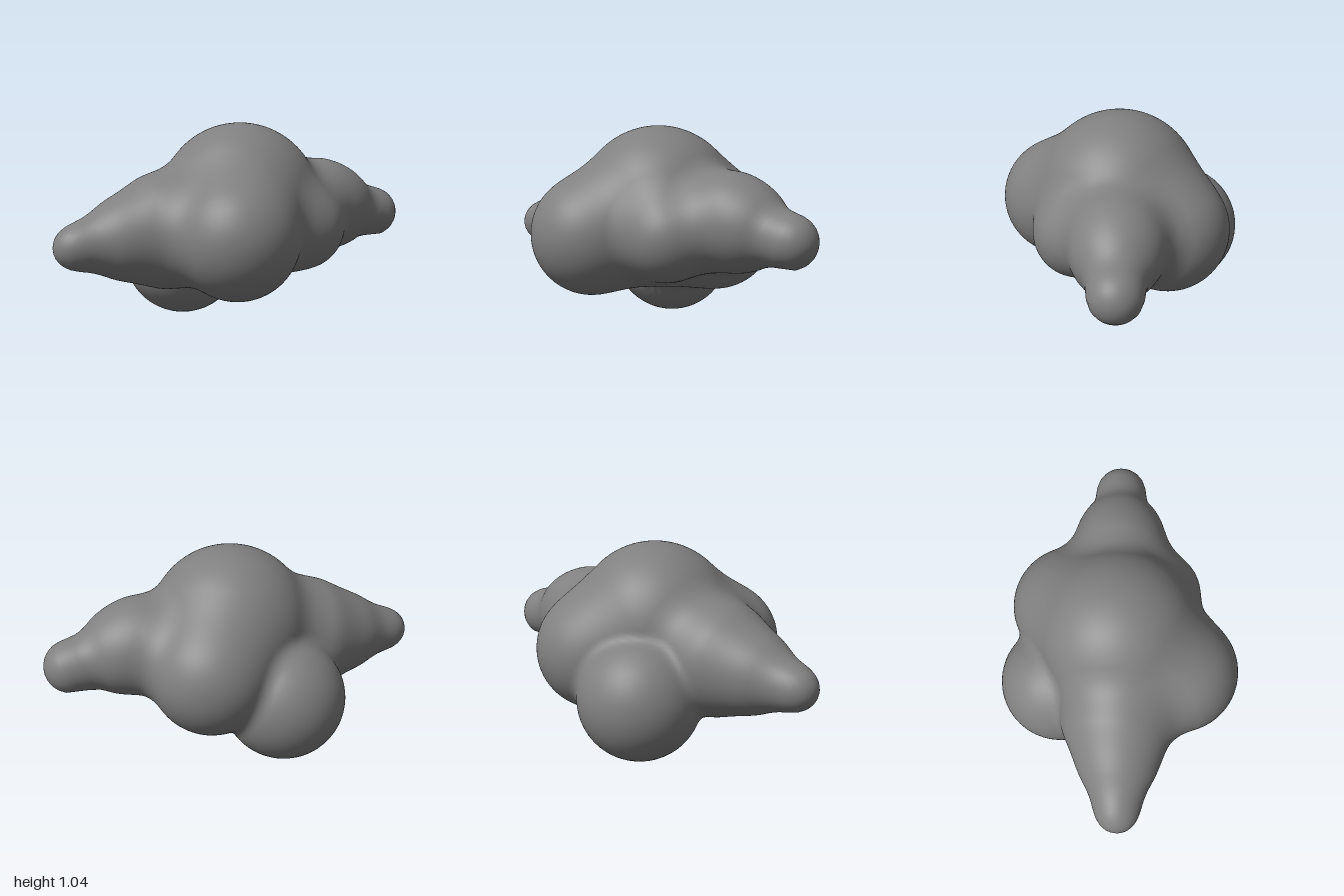
import * as THREE from 'three';

// Puffs of the cloud: x, y, z, radius, softness of the join to those before
const PUFFS = [
  [0.02, 0.62, 0, 0.42, 0.12],         // crown
  [-0.16, 0.49, 0.307, 0.315, 0.13],   // front
  [0.2, 0.492, -0.247, 0.317, 0.12],   // back
  [0.27, 0.51, 0.2, 0.23, 0.1],        // front left
  [0.5, 0.584, 0, 0.251, 0.12],        // left shoulder
  [0.64, 0.56, 0, 0.185, 0.1],         // left taper
  [0.865, 0.521, 0, 0.135, 0.1],       // left tip
  [-0.4, 0.508, 0, 0.3, 0.12],         // right shoulder
  [-0.66, 0.478, 0, 0.195, 0.12],      // right taper
  [-0.892, 0.455, 0, 0.108, 0.13],     // right tip
  [-0.163, 0.316, -0.311, 0.316, 0.05], // low back
];
const CENTRE = new THREE.Vector3(0, 0.51, 0);

// Distance to the softly merged puffs
function distance(p) {
  let d = Infinity;
  for (const [x, y, z, r, soft] of PUFFS) {
    const e = Math.hypot(p.x - x, p.y - y, p.z - z) - r;
    const h = Math.max(soft - Math.abs(d - e), 0) / soft;
    d = Math.min(d, e) - h * h * soft / 4;
  }
  return d;
}

// Outward direction of the merged surface
function surfaceNormal(p) {
  const n = new THREE.Vector3();
  for (const axis of ['x', 'y', 'z']) {
    const a = p.clone(), b = p.clone();
    a[axis] += 0.004;
    b[axis] -= 0.004;
    n[axis] = distance(a) - distance(b);
  }
  return n.normalize();
}

export function createModel() {
  const group = new THREE.Group();
  group.name = 'cloud';

  // A sphere with its poles on the two tips, shrunk inward onto the puffs
  const geometry = new THREE.SphereGeometry(1, 128, 144).rotateZ(-Math.PI / 2);
  const position = geometry.attributes.position;
  const normal = geometry.attributes.normal;
  const dir = new THREE.Vector3(), p = new THREE.Vector3();
  for (let i = 0; i < position.count; i++) {
    dir.fromBufferAttribute(position, i).normalize();
    let t = 1.3;
    for (let step = 0; step < 120; step++) {
      p.copy(CENTRE).addScaledVector(dir, t);
      const d = distance(p);
      if (d < 0.0003) break;
      t -= d;
    }
    position.setXYZ(i, p.x, p.y, p.z);
    const n = surfaceNormal(p);
    normal.setXYZ(i, n.x, n.y, n.z);
  }

  const body = new THREE.Mesh(geometry, new THREE.MeshStandardMaterial({ color: 0x808080 }));
  body.name = 'cloudBody';
  group.add(body);
  return group;
}
